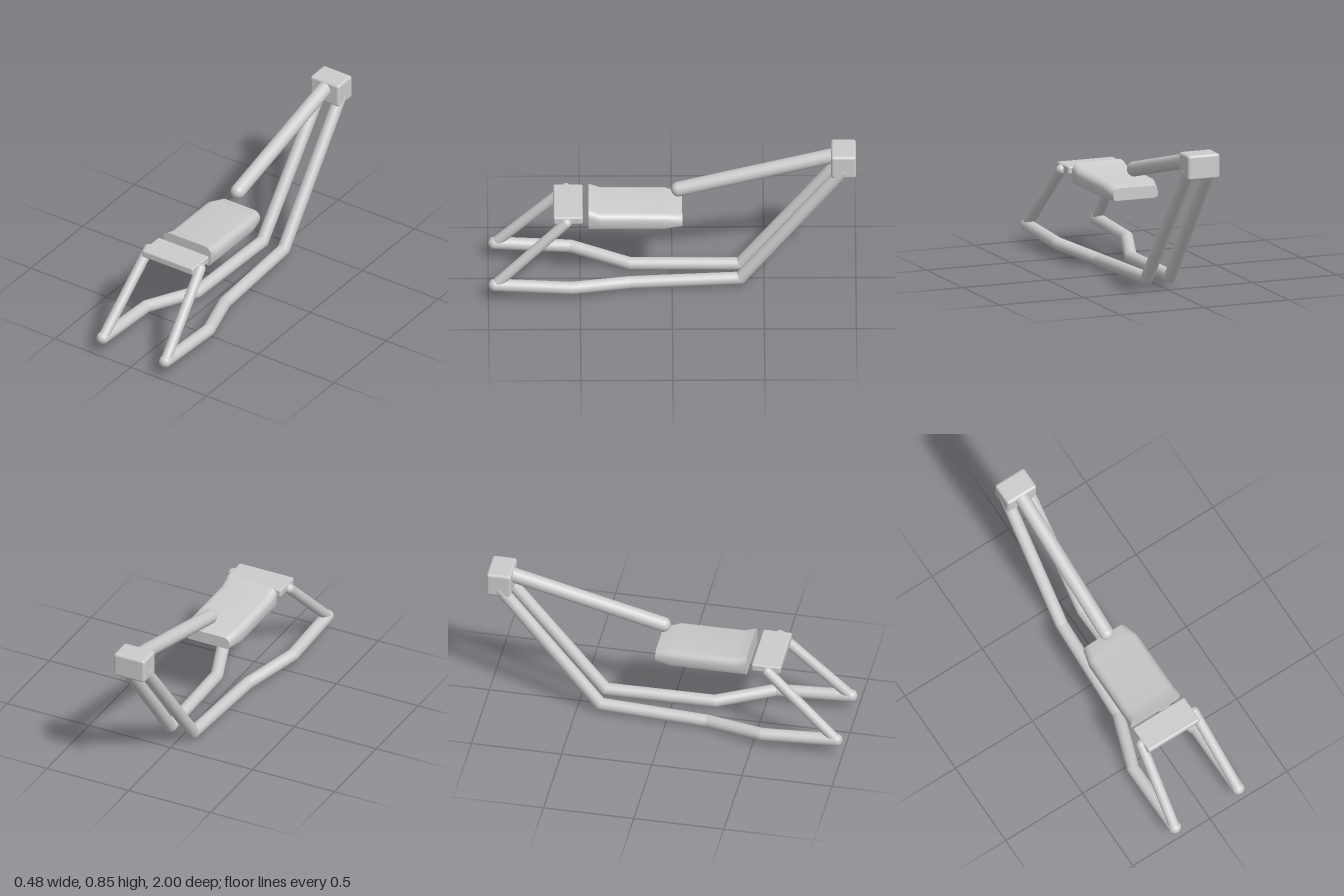
import * as THREE from 'three';
import { RoundedBoxGeometry } from 'three/addons/geometries/RoundedBoxGeometry.js';
import { toCreasedNormals } from 'three/addons/utils/BufferGeometryUtils.js';

const material = new THREE.MeshStandardMaterial({ color: 0xcccccc });

function add(parent, name, geometry, position) {
  const mesh = new THREE.Mesh(geometry, material);
  mesh.name = name;
  if (position) mesh.position.set(...position);
  parent.add(mesh);
  return mesh;
}

// Chain of straight round bars with ball joints at every point
function barChain(name, points, radius) {
  const group = new THREE.Group();
  group.name = name;
  const pts = points.map((p) => new THREE.Vector3(...p));
  const up = new THREE.Vector3(0, 1, 0);
  pts.forEach((p, i) => {
    add(group, name + 'Joint', new THREE.SphereGeometry(radius, 20, 14), p.toArray());
    if (i === 0) return;
    const dir = p.clone().sub(pts[i - 1]);
    const bar = add(group, name + 'Bar', new THREE.CylinderGeometry(radius, radius, dir.length(), 20, 1, true));
    bar.position.copy(p).add(pts[i - 1]).multiplyScalar(0.5);
    bar.quaternion.setFromUnitVectors(up, dir.normalize());
  });
  return group;
}

// Rounded outline, larger radius on the top corners; counter-clockwise seen from +z
function outline(halfWidth, bottom, top) {
  const corners = [
    [1, bottom, 0.02, -Math.PI / 2],
    [1, top, 0.038, 0],
    [-1, top, 0.038, Math.PI / 2],
    [-1, bottom, 0.02, Math.PI],
  ];
  const pts = [];
  for (const [sx, y, r, start] of corners) {
    const cx = sx * (halfWidth - r);
    const cy = y === bottom ? y + r : y - r;
    for (let k = 0; k <= 6; k++) {
      const a = start + (k / 6) * Math.PI / 2;
      pts.push([cx + r * Math.cos(a), cy + r * Math.sin(a)]);
    }
  }
  return pts;
}

// Pad lofted through outlines from back to front
function padGeometry(sections) {
  const pos = [], idx = [];
  const rings = sections.map(([z, w, b, t]) => outline(w, b, t).map(([x, y]) => [x, y, z]));
  const n = rings[0].length;
  rings.forEach((ring) => ring.forEach((p) => pos.push(...p)));
  for (let j = 0; j < rings.length - 1; j++) {
    for (let i = 0; i < n; i++) {
      const a = j * n + i, b = j * n + (i + 1) % n;
      idx.push(a, b, b + n, a, b + n, a + n);
    }
  }
  const last = (rings.length - 1) * n;
  for (let i = 1; i < n - 1; i++) {
    idx.push(0, i + 1, i);
    idx.push(last, last + i, last + i + 1);
  }
  const g = new THREE.BufferGeometry();
  g.setAttribute('position', new THREE.Float32BufferAttribute(pos, 3));
  g.setIndex(idx);
  return toCreasedNormals(g, 0.6);
}

export function createModel() {
  const model = new THREE.Group();
  model.name = 'exerciseFrame';

  // Block at the top rear
  add(model, 'headBlock', new RoundedBoxGeometry(0.19, 0.14, 0.136, 4, 0.016), [0, 0.78, -0.932]);

  // Central arm reaching forward from the block
  model.add(barChain('arm', [[0, 0.585, -0.035], [0, 0.803, -0.88]], 0.041));

  // Seat pad with raised front lip and tapered rear
  add(model, 'seatPad', padGeometry([
    [-0.055, 0.132, 0.42, 0.488],
    [0.04, 0.157, 0.42, 0.51],
    [0.39, 0.157, 0.42, 0.512],
    [0.455, 0.157, 0.42, 0.535],
  ]));

  // Flat plate in front of the pad
  add(model, 'frontPlate', new RoundedBoxGeometry(0.334, 0.045, 0.16, 3, 0.01), [0, 0.487, 0.566]);

  // Bent floor rails running up to the block, and front legs up to the plate
  for (const [side, s] of [['left', 1], ['right', -1]]) {
    model.add(barChain(side + 'Rail', [
      [s * 0.206, 0.098, 0.965],
      [s * 0.206, 0.076, 0.55],
      [s * 0.093, 0.037, 0.23],
      [s * 0.07, 0.049, -0.37],
      [s * 0.063, 0.745, -0.93],
    ], 0.035));
    model.add(barChain(side + 'FrontLeg', [
      [s * 0.206, 0.098, 0.965],
      [s * 0.171, 0.477, 0.577],
    ], 0.029));
  }
  return model;
}
